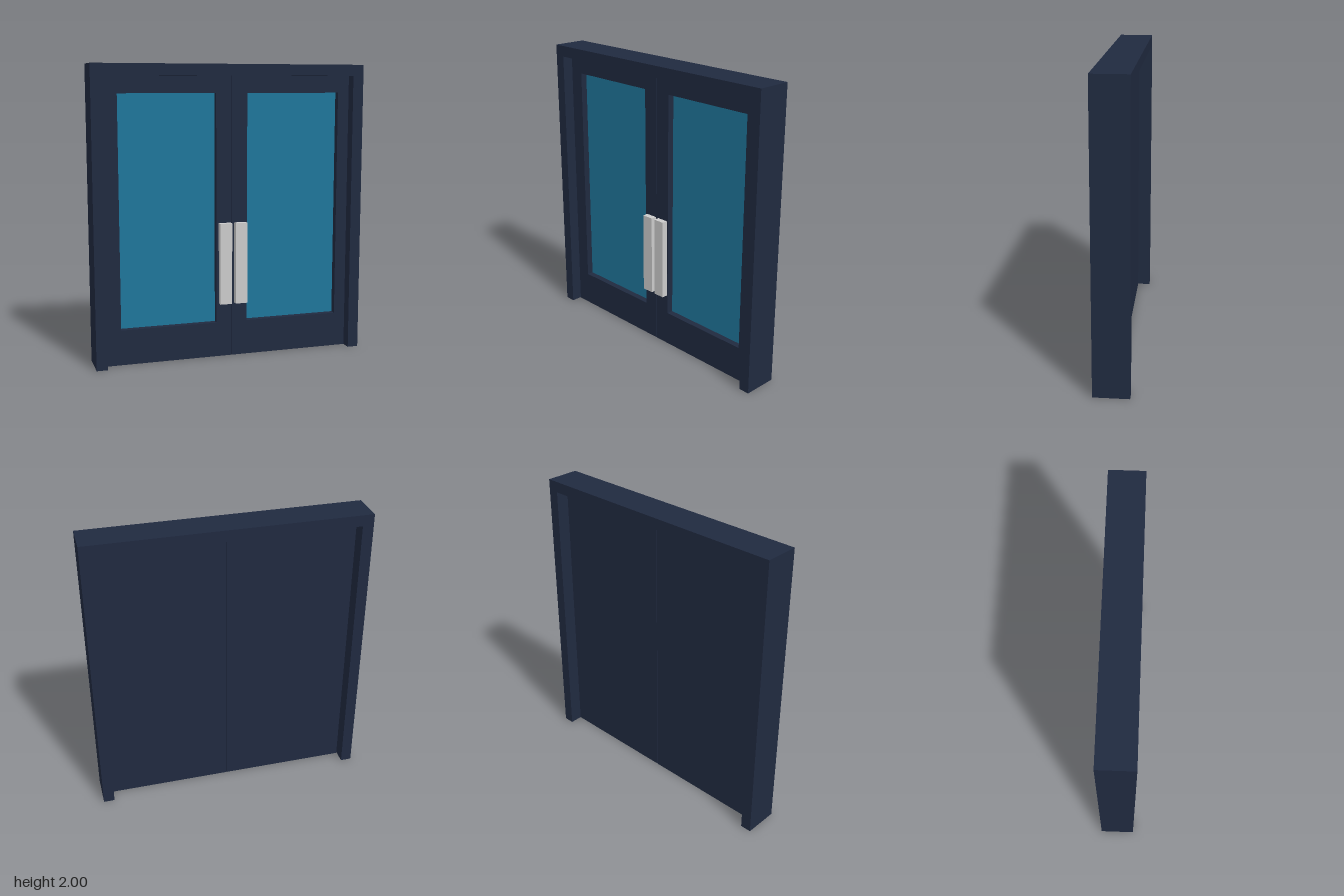
import * as THREE from 'three';

const navy = new THREE.MeshStandardMaterial({ color: 0x202a40 });
const glass = new THREE.MeshStandardMaterial({ color: 0x1f769b });
const grey = new THREE.MeshStandardMaterial({ color: 0xcccccc });

// Box given by its lower and upper bounds on each axis
function box(name, material, [x0, x1], [y0, y1], [z0, z1]) {
  const mesh = new THREE.Mesh(new THREE.BoxGeometry(x1 - x0, y1 - y0, z1 - z0), material);
  mesh.position.set((x0 + x1) / 2, (y0 + y1) / 2, (z0 + z1) / 2);
  mesh.name = name;
  return mesh;
}

function rectangle(Type, [x0, x1], [y0, y1]) {
  const path = new Type();
  path.moveTo(x0, y0);
  path.lineTo(x1, y0);
  path.lineTo(x1, y1);
  path.lineTo(x0, y1);
  path.closePath();
  return path;
}

// Flat outline extruded between two depths
function slab(name, shape, z0, z1) {
  const geometry = new THREE.ExtrudeGeometry(shape, { depth: z1 - z0, bevelEnabled: false });
  const mesh = new THREE.Mesh(geometry, navy);
  mesh.position.z = z0;
  mesh.name = name;
  return mesh;
}

const DEPTH = 0.118, HALF = 0.94, INNER = 0.865, LINTEL = 1.925;
const DOOR_FRONT = 0.045, DOOR_BACK = -0.027, GLASS_FRONT = 0;

// Door leaf: bordered front, recessed pane, solid backing and pull handle
function doorLeaf(name, xs, paneX, handleX) {
  const paneY = [0.24, 1.81];
  const leaf = new THREE.Group();
  leaf.name = name;
  const border = rectangle(THREE.Shape, xs, [0, LINTEL]);
  border.holes.push(rectangle(THREE.Path, paneX, paneY));
  leaf.add(
    slab('doorBorder', border, DOOR_BACK, DOOR_FRONT),
    box('backPanel', navy, paneX, paneY, [DOOR_BACK, GLASS_FRONT - 0.01]),
    box('glassPane', glass, paneX, paneY, [GLASS_FRONT - 0.01, GLASS_FRONT]),
    box('handle', grey, handleX, [0.375, 0.935], [DOOR_FRONT, 0.085])
  );
  return leaf;
}

export function createModel() {
  const model = new THREE.Group();
  model.name = 'doubleDoor';

  // Surround: two jambs and a lintel, open at the floor
  const surround = new THREE.Shape();
  surround.moveTo(-HALF, 0);
  surround.lineTo(-INNER, 0);
  surround.lineTo(-INNER, LINTEL);
  surround.lineTo(INNER, LINTEL);
  surround.lineTo(INNER, 0);
  surround.lineTo(HALF, 0);
  surround.lineTo(HALF, 2);
  surround.lineTo(-HALF, 2);
  surround.closePath();
  model.add(slab('doorFrame', surround, -DEPTH, DEPTH));

  // Two leaves of equal size with thin gaps beside the right leaf
  model.add(doorLeaf('rightDoor', [-0.861, 0.008], [-0.76, -0.096], [-0.08, 0.004]));
  model.add(doorLeaf('leftDoor', [0.012, INNER], [0.122, 0.785], [0.03, 0.113]));
  return model;
}
